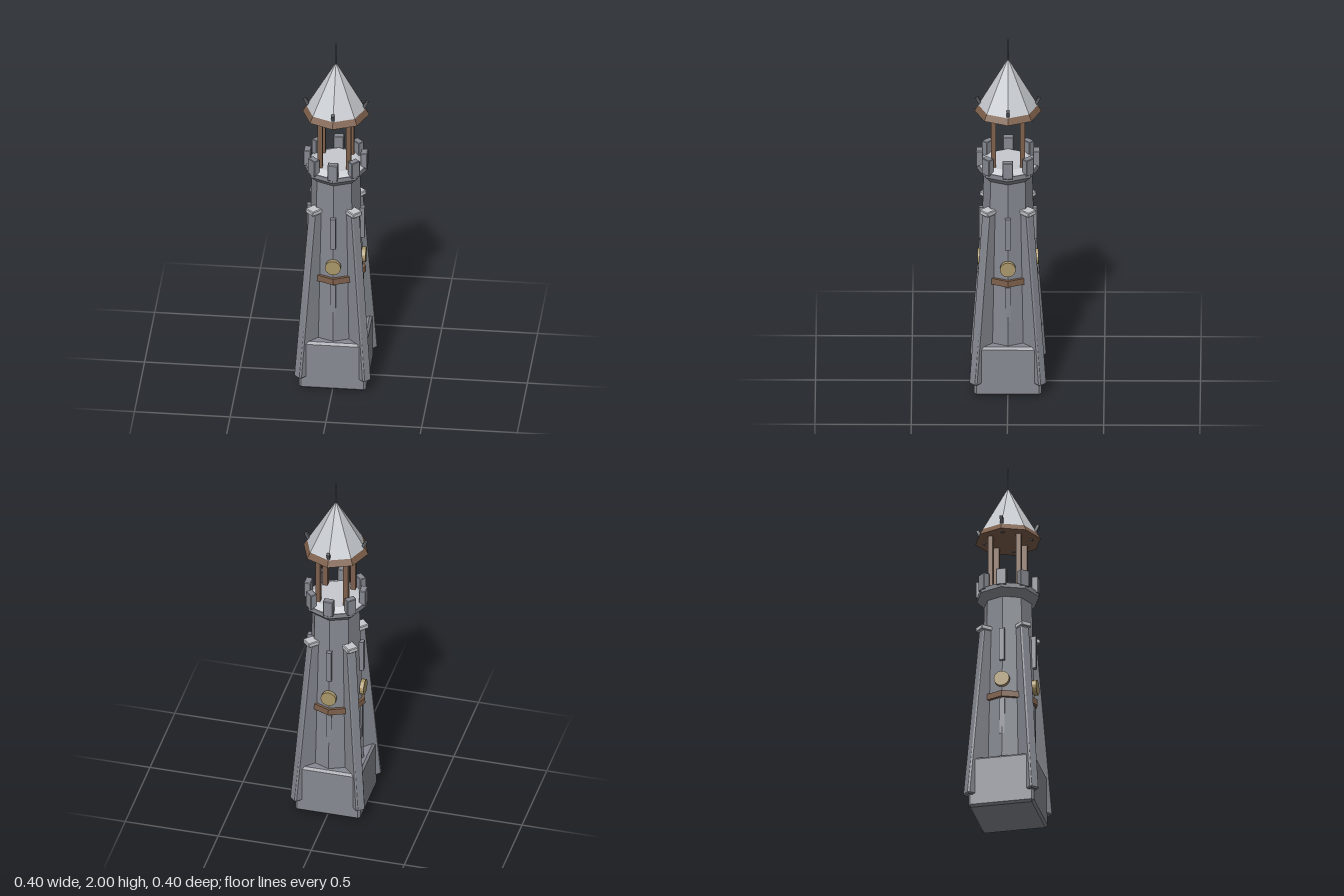
import * as THREE from 'three';
import { ConvexGeometry } from 'three/addons/geometries/ConvexGeometry.js';

function material(name, color) {
  const m = new THREE.MeshStandardMaterial({ color });
  m.name = name;
  return m;
}

// Box with chamfered edges, centred on the origin
function chamferBox(w, h, d, c) {
  const points = [];
  for (const x of [-1, 1]) for (const y of [-1, 1]) for (const z of [-1, 1]) {
    points.push(new THREE.Vector3(x * w / 2, y * (h / 2 - c), z * (d / 2 - c)));
    points.push(new THREE.Vector3(x * (w / 2 - c), y * h / 2, z * (d / 2 - c)));
    points.push(new THREE.Vector3(x * (w / 2 - c), y * (h / 2 - c), z * d / 2));
  }
  return new ConvexGeometry(points);
}

// Eight-sided frustum between two heights, with a corner facing the front
function octagon(rBottom, rTop, y0, y1) {
  return new THREE.CylinderGeometry(rTop, rBottom, y1 - y0, 8)
    .toNonIndexed().translate(0, (y0 + y1) / 2, 0);
}

export function createModel() {
  const model = new THREE.Group();
  model.name = 'watchtower';
  const stone = material('stone', 0x868991);
  const pale = material('paleSlate', 0xc6c9ce);
  const wood = material('wood', 0x7d5f4b);
  const brass = material('brass', 0xaa976a);
  const iron = material('iron', 0x5a5d63);

  function add(name, geometry, mat, angle = 0) {
    geometry.computeVertexNormals();
    const mesh = new THREE.Mesh(geometry, mat);
    mesh.name = name;
    mesh.rotation.y = angle;
    model.add(mesh);
    return mesh;
  }

  // Plinth and tapering shaft
  add('plinth', chamferBox(0.35, 0.28, 0.35, 0.012).translate(0, 0.142, 0), stone);
  add('shaft', octagon(0.152, 0.127, 0.2, 1.22), stone);
  add('woodBand', octagon(0.158, 0.156, 0.628, 0.662), wood);

  // Flared parapet with its pale floor
  add('corbel', octagon(0.127, 0.166, 1.212, 1.25), stone);
  add('parapetRim', octagon(0.166, 0.166, 1.25, 1.275), stone);
  add('parapetFloor', octagon(0.158, 0.125, 1.275, 1.294), pale);
  for (let i = 0; i < 8; i++) {
    add('merlon', chamferBox(0.054, 0.092, 0.036, 0.003).translate(0, 1.31, 0.148),
      stone, i * Math.PI / 4);
  }

  for (let i = 0; i < 4; i++) {
    const side = i * Math.PI / 2;
    const corner = side + Math.PI / 4;

    // Leaning buttress: the outer face moves inward with height
    const buttress = chamferBox(0.053, 0.965, 0.12, 0.007).translate(0, 0.5525, 0);
    const p = buttress.attributes.position;
    for (let k = 0; k < p.count; k++) {
      const outer = 0.27 - 0.103 * p.getY(k);
      const t = (p.getZ(k) + 0.06) / 0.12;
      p.setZ(k, 0.09 + t * (outer - 0.09));
    }
    add('buttress', buttress, stone, corner);
    add('buttressCap', chamferBox(0.06, 0.026, 0.085, 0.004).translate(0, 1.043, 0.138),
      pale, corner);

    // Raised slits and round brass plaque on each side
    add('upperSlit', new THREE.BoxGeometry(0.027, 0.18, 0.04).translate(0, 0.93, 0.131), stone, side);
    add('lowerSlit', new THREE.BoxGeometry(0.027, 0.2, 0.03).translate(0, 0.52, 0.13), stone, side);
    const disc = new THREE.CylinderGeometry(0.041, 0.041, 0.022, 16).toNonIndexed();
    add('plaque', disc.rotateX(Math.PI / 2).translate(0, 0.73, 0.147), brass, side);

    // Lantern post
    const sx = i % 2 ? 1 : -1;
    const sz = i < 2 ? 1 : -1;
    add('lanternPost', new THREE.BoxGeometry(0.026, 0.32, 0.026)
      .translate(sx * 0.075, 1.44, sz * 0.075), wood);

    // Iron spike leaning out through the eaves
    add('eaveSpike', new THREE.BoxGeometry(0.016, 0.09, 0.016)
      .rotateX(0.46).translate(0, 1.619, 0.142), iron, side);
  }

  // Eaves, roof and finial
  add('eaves', octagon(0.174, 0.155, 1.582, 1.616), wood);
  add('roof', octagon(0.155, 0.001, 1.616, 1.886), pale);
  add('finialBase', octagon(0.006, 0.005, 1.87, 1.93), iron);
  add('finialTip', octagon(0.004, 0.002, 1.93, 2.0), iron);

  return model;
}
